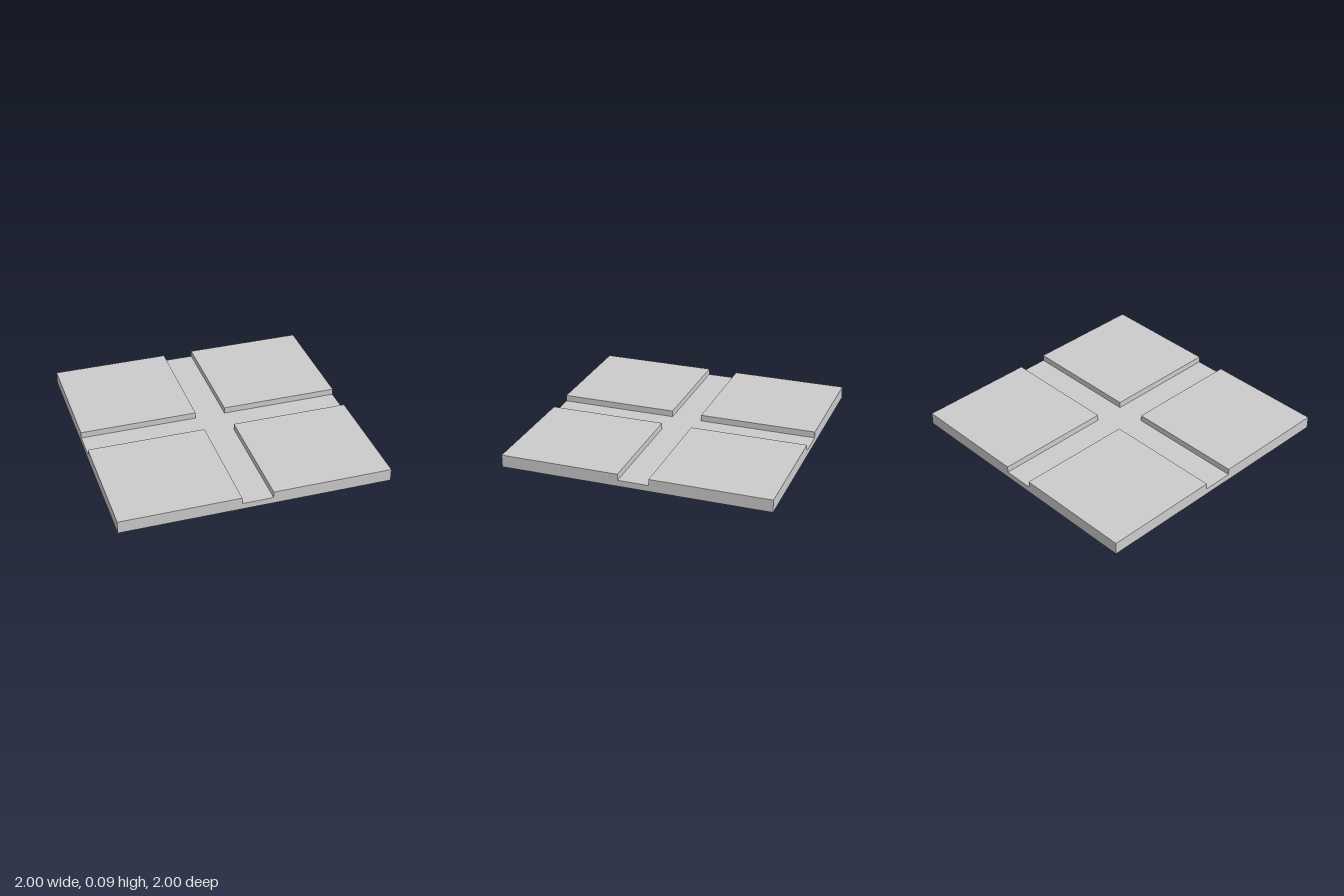
import * as THREE from 'three';

const GROOVE = 0.115; // half width of the crossing grooves
const HIGH = 0.093;   // top of the four raised pads
const LOW = 0.046;    // floor of the grooves

// Grid lines across the plate; each doubled line becomes a vertical groove wall
const LINES = [-1, -GROOVE, -GROOVE, GROOVE, GROOVE, 1];
const inGroove = (i) => i === 2 || i === 3;

// One closed slab whose top is stepped down along a cross
function groovedSlab() {
  const box = new THREE.BoxGeometry(2, 1, 2, 5, 1, 5);
  const pos = box.attributes.position;
  for (let v = 0; v < pos.count; v++) {
    const i = Math.round((pos.getX(v) + 1) * 2.5);
    const k = Math.round((pos.getZ(v) + 1) * 2.5);
    const top = inGroove(i) || inGroove(k) ? LOW : HIGH;
    pos.setXYZ(v, LINES[i], pos.getY(v) > 0 ? top : 0, LINES[k]);
  }
  // Separate the faces for crisp edges
  const geometry = box.toNonIndexed();
  geometry.computeVertexNormals();
  return geometry;
}

export function createModel() {
  const group = new THREE.Group();
  group.name = 'groovedTile';
  const material = new THREE.MeshStandardMaterial({ color: 0xcccccc, flatShading: true });
  const slab = new THREE.Mesh(groovedSlab(), material);
  slab.name = 'slabWithCrossGrooves';
  group.add(slab);
  return group;
}
